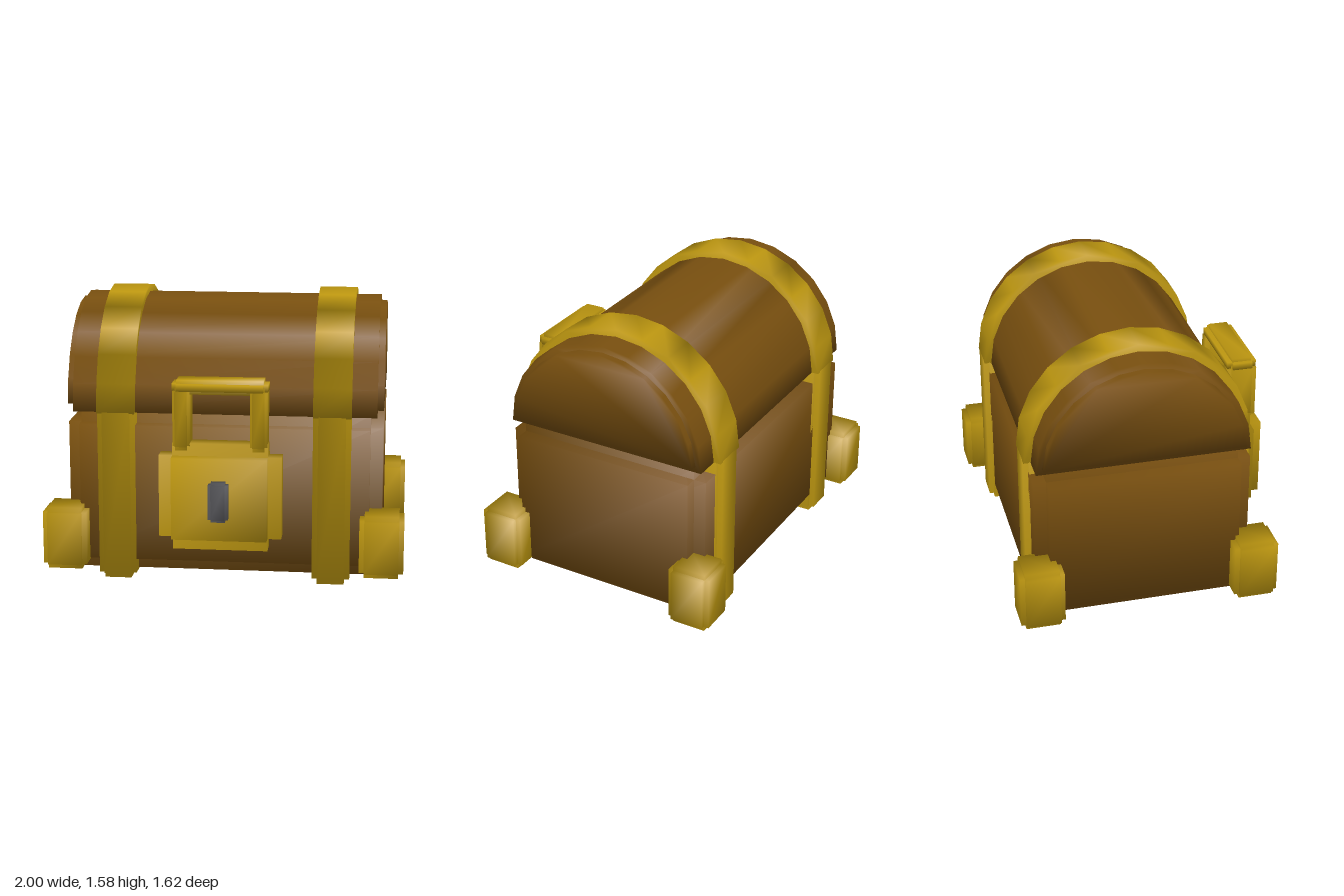
import * as THREE from 'three';
import { mergeVertices } from 'three/addons/utils/BufferGeometryUtils.js';

const CZ = -0.09; // depth centre of the chest body

// Weld all corners so the shading flows smoothly over the edges
function smooth(geometry) {
  geometry.deleteAttribute('normal');
  geometry.deleteAttribute('uv');
  geometry.clearGroups();
  const welded = mergeVertices(geometry, 1e-4);
  welded.computeVertexNormals();
  return welded;
}

export function createModel() {
  const wood = new THREE.MeshStandardMaterial({ color: 0x784f0f });
  wood.name = 'wood';
  const gold = new THREE.MeshStandardMaterial({ color: 0xbc9610 });
  gold.name = 'gold';
  const iron = new THREE.MeshStandardMaterial({ color: 0x58585c });
  iron.name = 'darkIron';

  const chest = new THREE.Group();
  chest.name = 'treasureChest';

  // Box with stepped edges: three crossed boxes, each full length on one axis
  function steppedBox(name, material, min, max, step) {
    const group = new THREE.Group();
    group.name = name;
    const size = max.map((v, i) => v - min[i]);
    for (let axis = 0; axis < 3; axis++) {
      const s = size.map((v, i) => (i === axis ? v : v - 2 * step[i]));
      const mesh = new THREE.Mesh(smooth(new THREE.BoxGeometry(...s)), material);
      mesh.name = name + 'Block' + 'XYZ'[axis];
      group.add(mesh);
    }
    group.position.set(...max.map((v, i) => (v + min[i]) / 2));
    chest.add(group);
  }

  // Half cylinder lying along x, flat side down
  function halfRound(name, material, radius, x0, x1, base, cut = 0) {
    const shape = new THREE.Shape();
    const start = Math.asin(cut / radius);
    for (let i = 0; i <= 12; i++) {
      const a = start + ((Math.PI - 2 * start) * i) / 12;
      const p = [Math.cos(a) * radius, Math.sin(a) * radius];
      if (i === 0) shape.moveTo(...p);
      else shape.lineTo(...p);
    }
    shape.closePath();
    const geometry = new THREE.ExtrudeGeometry(shape, { depth: x1 - x0, bevelEnabled: false });
    geometry.rotateY(Math.PI / 2);
    const mesh = new THREE.Mesh(smooth(geometry), material);
    mesh.name = name;
    mesh.position.set(x0, base, CZ);
    chest.add(mesh);
  }

  // Wooden body and rounded lid
  steppedBox('body', wood, [-0.875, 0.04, -0.69], [0.875, 0.95, 0.51], [0.07, 0.07, 0.07]);
  halfRound('lid', wood, 0.59, -0.84, 0.84, 0.95);
  halfRound('lidEnds', wood, 0.557, -0.875, 0.875, 0.95, 0.035);

  for (const [side, sx] of [['left', 1], ['right', -1]]) {
    // Gold straps around the lid and the body
    const x = sx * 0.597;
    halfRound(side + 'LidStrap', gold, 0.63, x - 0.105, x + 0.105, 0.95);
    steppedBox(side + 'BodyStrap', gold,
      [x - 0.105, 0, -0.72], [x + 0.105, 0.985, 0.545], [0.03, 0.03, 0.03]);

    // Corner feet
    for (const [end, z] of [['Front', 0.515], ['Back', -0.685]]) {
      const fx = sx * 0.878;
      steppedBox(side + end + 'Foot', gold,
        [fx - 0.122, 0.075, z - 0.122], [fx + 0.122, 0.425, z + 0.122], [0.027, 0.027, 0.027]);
    }

    // Shackle posts
    const px = sx * 0.21;
    steppedBox(side + 'ShacklePost', gold,
      [px - 0.047, 0.79, 0.545], [px + 0.047, 1.14, 0.72], [0.015, 0.025, 0.028]);
  }

  // Padlock
  steppedBox('shackleBar', gold, [-0.26, 1.1, 0.55], [0.26, 1.178, 0.718], [0.025, 0.02, 0.028]);
  steppedBox('lockPlate', gold, [-0.335, 0.235, 0.53], [0.335, 0.83, 0.755], [0.075, 0.07, 0.065]);
  steppedBox('keyhole', iron, [-0.054, 0.42, 0.72], [0.054, 0.64, 0.81], [0.016, 0.014, 0.016]);

  return chest;
}
